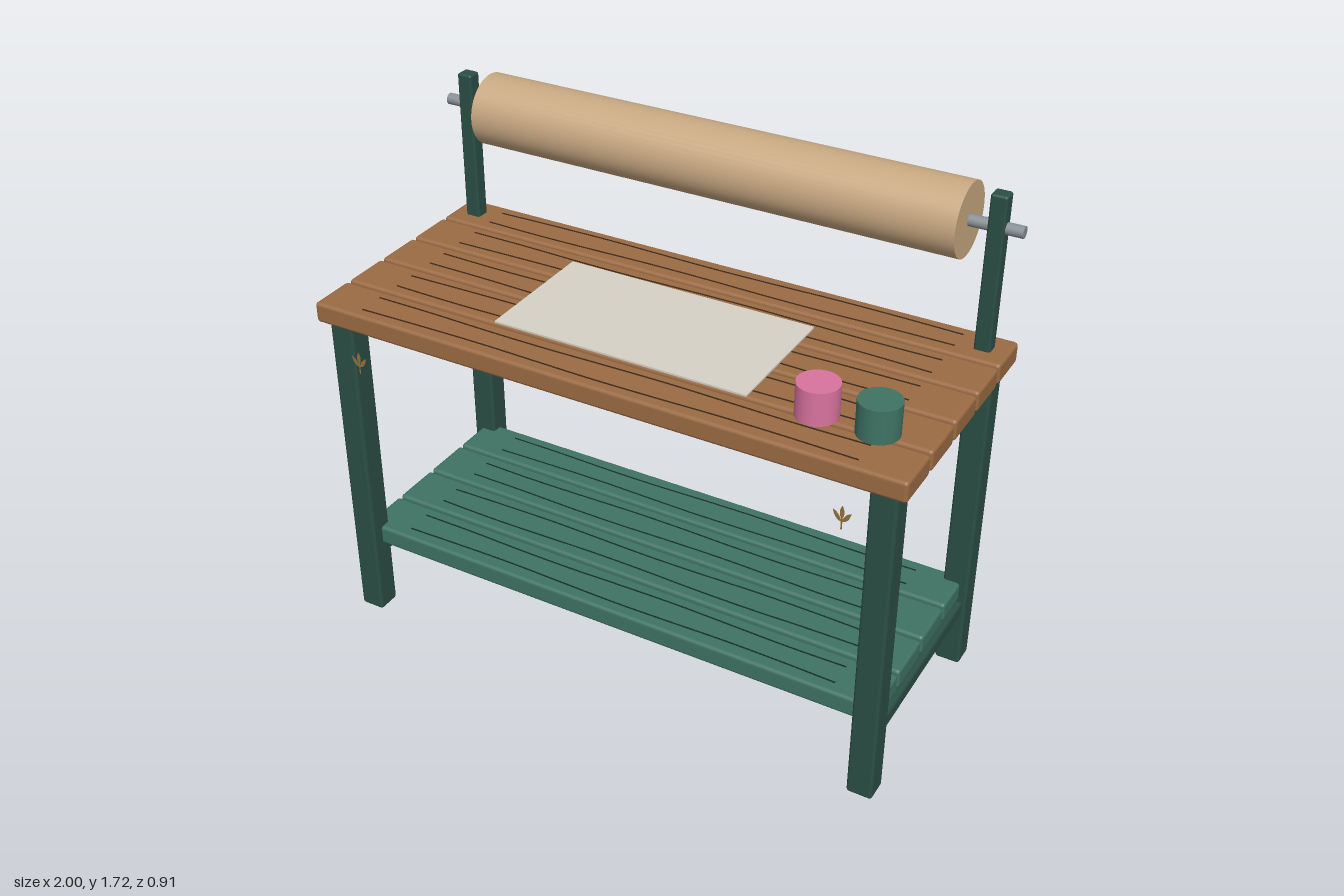
import * as THREE from 'three';
import { RoundedBoxGeometry } from 'three/addons/geometries/RoundedBoxGeometry.js';

const paint = (color, side = THREE.FrontSide) => new THREE.MeshStandardMaterial({ color, side });

export function createModel() {
  const model = new THREE.Group();
  const wood = paint(0x9b6b43), woodGrain = paint(0x3b2818);
  const darkGreen = paint(0x2b4f45), green = paint(0x3f7364), greenGrain = paint(0x17302a);
  const kraft = paint(0xc8a882), steel = paint(0x8a9096), pink = paint(0xd9739f);
  const paper = paint(0xd6d2c6), brass = paint(0x94713c, THREE.DoubleSide);

  function add(name, geometry, material, x, y, z, parent = model) {
    const mesh = new THREE.Mesh(geometry, material);
    mesh.name = name;
    mesh.position.set(x, y, z);
    parent.add(mesh);
    return mesh;
  }
  const box = (w, h, d, r = 0.01) => new RoundedBoxGeometry(w, h, d, 2, r);

  // A slightly wavering grain line lying half sunk in a board
  function grainLine(halfLength, seed) {
    const points = [];
    for (let i = 0; i <= 8; i++) {
      points.push(new THREE.Vector3(
        -halfLength + i * halfLength / 4, 0, 0.004 * Math.sin(i * 1.4 + seed * 2.1)));
    }
    return new THREE.TubeGeometry(new THREE.CatmullRomCurve3(points), 32, 0.0032, 5);
  }

  // Row of boards along z, each with two grain lines
  function boards(name, count, length, width, pitch, firstZ, y, material, grain) {
    const group = new THREE.Group();
    group.name = name;
    model.add(group);
    const plank = box(length, 0.07, width, 0.012);
    for (let i = 0; i < count; i++) {
      const z = firstZ - i * pitch;
      add('plank', plank, material, 0, y, z, group);
      for (const s of [-1, 1]) {
        add('grainLine', grainLine(length * 0.42, i * 2 + s), grain, 0, y + 0.035, z + s * 0.04, group);
      }
    }
  }
  boards('tabletop', 5, 2, 0.163, 0.1735, 0.355, 1.166, wood, woodGrain);
  boards('lowerShelf', 4, 1.88, 0.173, 0.183, 0.285, 0.295, green, greenGrain);

  // Legs, shelf rails and roll posts, mirrored left and right
  for (const s of [-1, 1]) {
    for (const z of [0.372, -0.349]) {
      add('leg', box(0.085, 1.134, 0.083), darkGreen, s * 0.925, 0.567, z);
    }
    add('shelfRail', box(0.06, 0.06, 0.66, 0.015), darkGreen, s * 0.925, 0.23, 0.011);
    add('rollPost', box(0.053, 0.55, 0.05, 0.008), darkGreen, s * 0.92, 1.435, -0.337);
  }

  // Paper roll on its rod
  const roll = add('paperRoll', new THREE.CylinderGeometry(0.118, 0.118, 1.665, 48), kraft, 0, 1.603, -0.337);
  const rod = add('rollRod', new THREE.CylinderGeometry(0.019, 0.019, 2, 20), steel, 0, 1.603, -0.337);
  roll.rotation.z = rod.rotation.z = Math.PI / 2;

  // Paper sheet and paint pots
  add('paperSheet', new THREE.BoxGeometry(0.865, 0.006, 0.45), paper, 0, 1.209, 0.046);
  const pot = new THREE.CylinderGeometry(0.065, 0.065, 0.108, 32);
  add('pinkPot', pot, pink, 0.65, 1.266, 0.263);
  add('greenPot', pot, green, 0.836, 1.266, 0.263);

  // Small flat sprigs hanging in front: a stem, a bud and two curved leaves
  const leaf = new THREE.Shape();
  leaf.moveTo(0, 0);
  leaf.quadraticCurveTo(0.022, 0.002, 0.028, 0.036);
  leaf.quadraticCurveTo(0.006, 0.026, 0, 0);
  const bud = new THREE.Shape();
  bud.moveTo(0, 0);
  bud.quadraticCurveTo(0.014, 0.022, 0, 0.046);
  bud.quadraticCurveTo(-0.014, 0.022, 0, 0);
  for (const x of [-0.828, 0.825]) {
    const sprig = new THREE.Group();
    sprig.name = 'sprig';
    sprig.position.set(x, 1.0, 0.455);
    model.add(sprig);
    add('stem', new THREE.PlaneGeometry(0.005, 0.042), brass, 0, 0.021, 0, sprig);
    add('bud', new THREE.ShapeGeometry(bud), brass, 0, 0.034, 0, sprig);
    for (const s of [-1, 1]) {
      add('leaf', new THREE.ShapeGeometry(leaf), brass, 0, 0.026, 0, sprig).scale.x = s;
    }
  }
  return model;
}
